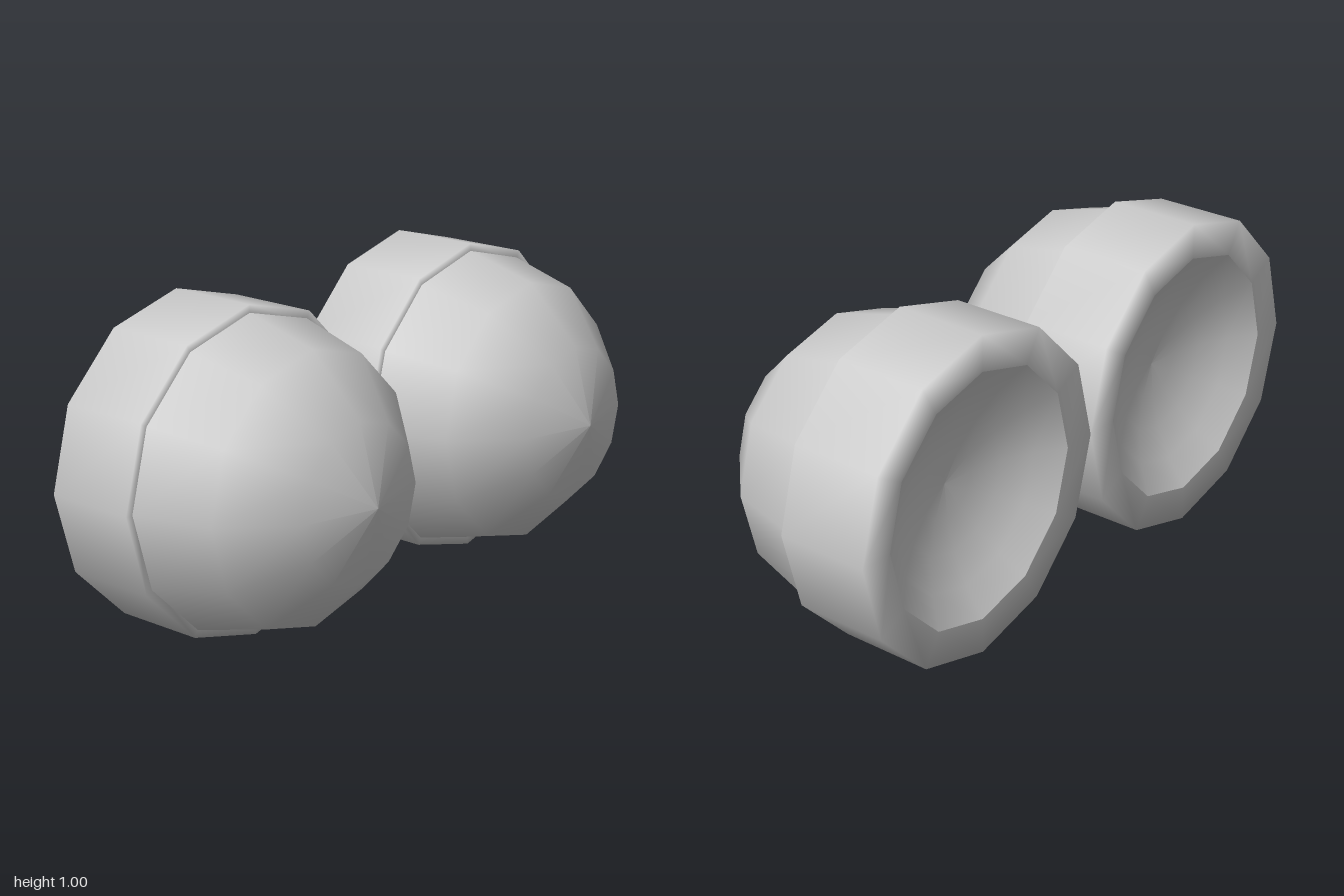
import * as THREE from 'three';

const SIDES = 12;
const BACK = -0.385, STEP = -0.093;

// Turns a (radius, z) profile about the z axis; run profiles from back to front.
function turned(name, profile, material) {
  const points = profile.map(([r, z]) => new THREE.Vector2(r, z));
  const geometry = new THREE.LatheGeometry(points, SIDES).rotateX(Math.PI / 2);
  const mesh = new THREE.Mesh(geometry, material);
  mesh.name = name;
  return mesh;
}

// Arc of a spherical cap from its pole out to its edge.
function arc(radius, sweep, steps, toPoint) {
  return Array.from({ length: steps + 1 }, (_, i) => {
    const a = (sweep * i) / steps;
    return toPoint(i === 0 ? 0 : radius * Math.sin(a), radius * Math.cos(a));
  });
}

export function createModel() {
  const model = new THREE.Group();
  model.name = 'pairOfCups';

  const grey = new THREE.MeshStandardMaterial({ color: 0xcccccc });
  grey.name = 'light grey';

  // Half-sphere front shell
  const domeR = 0.476;
  const dome = arc(domeR, Math.PI / 2, 3, (r, h) => [r, STEP + h]).reverse();

  // Thick rim band around the back
  const holeR = 0.39;
  const rim = [[holeR, BACK], [0.5, BACK], [0.5, STEP], [domeR - 0.01, STEP]];

  // Shallow hollow inside the rim
  const sweep = 0.68;
  const dishR = holeR / Math.sin(sweep);
  const dish = arc(dishR, sweep, 4, (r, h) => [r, BACK + h - dishR * Math.cos(sweep)]);

  for (const [side, x] of [['left', 0.5], ['right', -0.5]]) {
    const cup = new THREE.Group();
    cup.name = side + 'Cup';
    cup.add(
      turned('dome', dome, grey),
      turned('rimBand', rim, grey),
      turned('hollow', dish, grey)
    );
    cup.position.set(x, 0.5, 0);
    model.add(cup);
  }
  return model;
}
